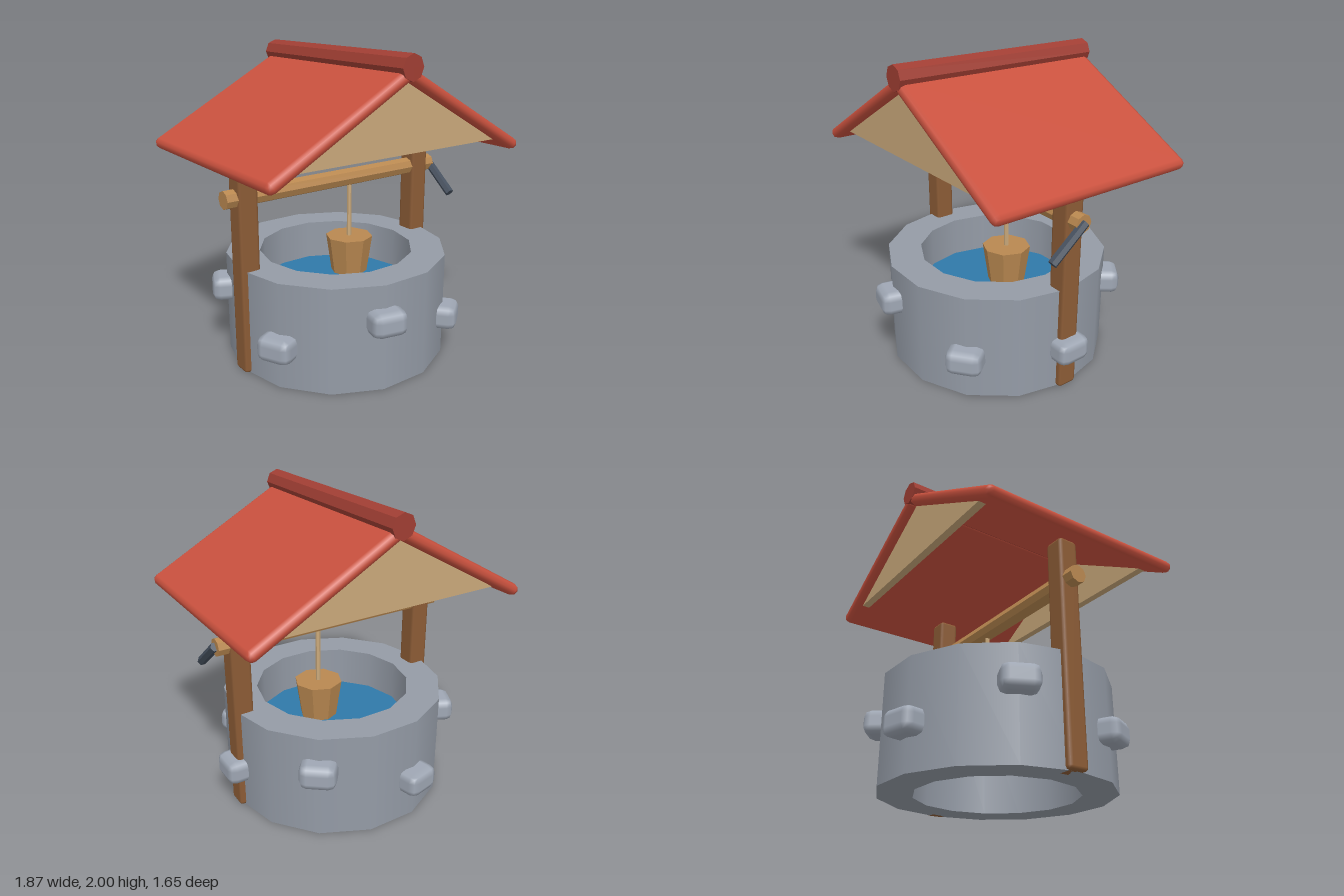
import * as THREE from 'three';
import { mergeGeometries } from 'three/addons/utils/BufferGeometryUtils.js';
import { RoundedBoxGeometry } from 'three/addons/geometries/RoundedBoxGeometry.js';

const paint = (name, color, extra = {}) =>
  Object.assign(new THREE.MeshStandardMaterial({ color, ...extra }), { name });

export function createModel() {
  const well = new THREE.Group();
  well.name = 'wishingWell';

  const wallGrey = paint('wallGrey', 0x949ba6);
  const stoneGrey = paint('stoneGrey', 0x9fa7b4);
  const waterBlue = paint('waterBlue', 0x3079a9);
  const darkWood = paint('darkWood', 0x8c5c36, );
  const lightWood = paint('lightWood', 0xb98850, { flatShading: true });
  const paleWood = paint('paleWood', 0xcaa97b, { flatShading: true });
  const roofRed = paint('roofRed', 0xc9513e);
  const ridgeRed = paint('ridgeRed', 0xa03e33, { flatShading: true });
  const iron = paint('iron', 0x454f5d, { flatShading: true });

  const add = (name, geometry, material, x = 0, y = 0, z = 0) => {
    const mesh = new THREE.Mesh(geometry, material);
    mesh.name = name;
    mesh.position.set(x, y, z);
    well.add(mesh);
    return mesh;
  };

  // Ring wall: one lathe per profile edge keeps the rims sharp
  const outer = 0.73, inner = 0.51, top = 0.685, sides = 14;
  const profile = [[outer, 0], [outer, top], [inner, top], [inner, 0], [outer, 0]]
    .map(([r, y]) => new THREE.Vector2(r, y));
  const bands = profile.slice(1).map((p, i) => new THREE.LatheGeometry([profile[i], p], sides));
  add('stoneWall', mergeGeometries(bands).rotateY(Math.PI / 2), wallGrey);

  // Water surface inside the wall
  const water = new THREE.CylinderGeometry(inner + 0.01, inner + 0.01, 0.02, sides);
  add('water', water.rotateY(Math.PI / 2), waterBlue, 0, 0.41, 0);

  // Seven protruding stones, evenly spaced
  const stone = new RoundedBoxGeometry(0.17, 0.158, 0.23, 1, 0.05);
  [0.277, 0.277, 0.46, 0.277, 0.46, 0.277, 0.46].forEach((y, i) => {
    const a = i * Math.PI * 2 / 7;
    add('wallStone', stone, stoneGrey, 0.745 * Math.cos(a), y, 0.745 * Math.sin(a)).rotation.y = -a;
  });

  // Posts and roof slopes, mirrored left and right
  const post = new RoundedBoxGeometry(0.134, 1.42, 0.134, 1, 0.022);
  const pitch = 0.507, length = 1.07;
  const slope = new RoundedBoxGeometry(length, 0.075, 1.42, 1, 0.037);
  for (const s of [1, -1]) {
    add('post', post, darkWood, s * 0.686, 0.71, 0);
    const run = 0.932 - length / 2 * Math.cos(pitch);
    const rise = 1.368 + length / 2 * Math.sin(pitch);
    add('roofSlope', slope, roofRed, s * run, rise, 0).rotation.z = -s * pitch;
  }

  // Ridge beam
  const ridge = new THREE.CylinderGeometry(0.078, 0.078, 1.42, 8).rotateX(Math.PI / 2);
  add('ridgeBeam', ridge, ridgeRed, 0, 1.922, 0);

  // Gable panels, front and back
  const triangle = new THREE.Shape([[-0.75, 1.425], [0.75, 1.425], [0, 1.85]]
    .map(([x, y]) => new THREE.Vector2(x, y)));
  const gable = new THREE.ExtrudeGeometry(triangle, { depth: 0.05, bevelEnabled: false })
    .translate(0, 0, -0.025);
  for (const s of [1, -1]) add('gable', gable, paleWood, 0, 0, s * 0.625);

  // Axle and crank
  const axle = new THREE.CylinderGeometry(0.058, 0.058, 1.645, 8).rotateZ(Math.PI / 2);
  add('axle', axle, lightWood, 0, 1.145, 0);
  const crank = new THREE.CylinderGeometry(0.03, 0.03, 0.305, 6).rotateY(Math.PI / 2);
  add('crank', crank, iron, 0.825, 1.058, 0.112).rotation.x = -0.896;

  // Rope and bucket
  add('rope', new THREE.CylinderGeometry(0.016, 0.016, 0.43, 6), paleWood, 0.112, 0.92, 0);
  add('bucket', new THREE.CylinderGeometry(0.158, 0.122, 0.25, 8), lightWood, 0.112, 0.61, 0);

  return well;
}
